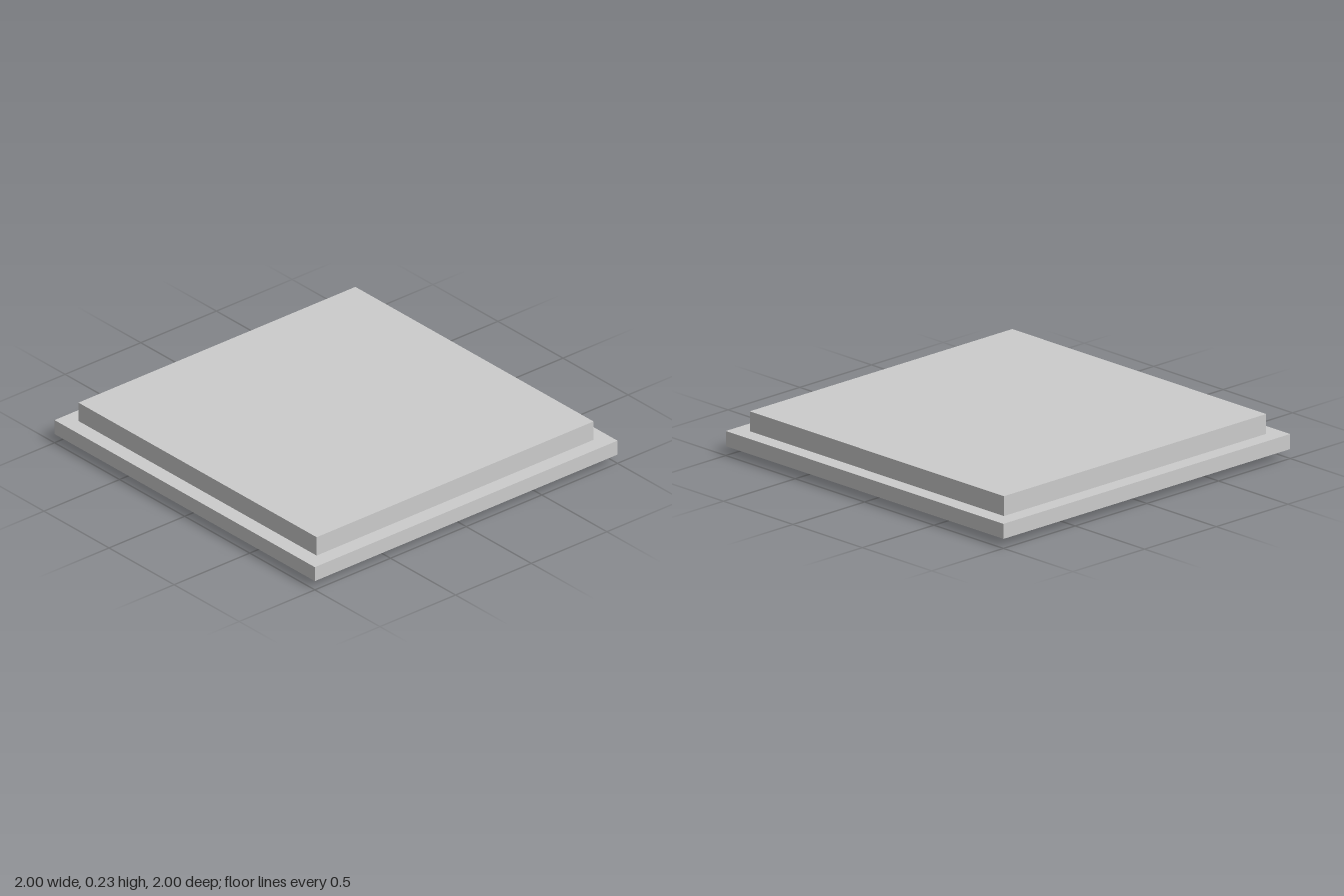
import * as THREE from 'three';

const material = new THREE.MeshStandardMaterial({ color: 0xcccccc, flatShading: true });
const UNDER = 0.05; // height of the board's underside

export function createModel() {
  const model = new THREE.Group();

  const group = (name) => {
    const g = new THREE.Group();
    g.name = name;
    model.add(g);
    return g;
  };
  const add = (parent, name, geometry, x, y, z) => {
    const mesh = new THREE.Mesh(geometry, material);
    mesh.name = name;
    mesh.position.set(x, y, z);
    parent.add(mesh);
    return mesh;
  };
  // box given by its lower and upper heights
  const slab = (parent, name, w, d, y0, y1, x, z) =>
    add(parent, name, new THREE.BoxGeometry(w, y1 - y0, d), x, (y0 + y1) / 2, z);

  // main board and the cover plate on top
  slab(model, 'board', 2, 2, UNDER, 0.13, 0, 0);
  slab(model, 'coverPlate', 1.83, 1.83, 0.13, 0.235, 0, 0);

  // square pins under the front edge, with one stepped corner
  const pins = group('pinBlock');
  const rowsInColumn = [3, 5, 7, 7, 7, 7, 7];
  rowsInColumn.forEach((rows, col) => {
    for (let row = 0; row < rows; row++) {
      slab(pins, 'pin', 0.046, 0.046, 0, UNDER, 0.038 + col * 0.053, 0.872 - row * 0.054);
    }
  });

  // hollow socket, open downward
  const wall = new THREE.Shape();
  wall.moveTo(-0.055, -0.192).lineTo(0.055, -0.192).lineTo(0.055, 0.192).lineTo(-0.055, 0.192);
  const slot = new THREE.Path();
  slot.moveTo(-0.033, -0.165).lineTo(-0.033, 0.165).lineTo(0.033, 0.165).lineTo(0.033, -0.165);
  wall.holes.push(slot);
  const socket = new THREE.ExtrudeGeometry(wall, { depth: 0.035, bevelEnabled: false });
  socket.rotateX(Math.PI / 2);
  add(model, 'socket', socket, 0.78, UNDER, 0.462);

  // round solder dots in regular fields
  const dots = group('solderDots');
  const dotGeometry = new THREE.CylinderGeometry(0.018, 0.018, 0.006, 8);
  const dotField = (x0, z0, cols, rows, stepX, stepZ) => {
    for (let i = 0; i < cols; i++) {
      for (let j = 0; j < rows; j++) {
        add(dots, 'solderDot', dotGeometry, x0 + i * stepX, UNDER - 0.003, z0 + j * stepZ);
      }
    }
  };
  dotField(-0.7, 0.1, 14, 5, 0.056, 0.085);
  dotField(-0.7, 0.525, 12, 3, 0.056, 0.085);
  dotField(0.28, 0.08, 4, 2, 0.056, 0.08);
  dotField(0.5, -0.28, 2, 3, 0.07, 0.07);

  // flat square contact pads
  const pads = group('contactPads');
  for (let i = 0; i < 5; i++) slab(pads, 'contactPad', 0.055, 0.055, 0.047, UNDER, 0.5 + i * 0.09, 0.82);

  // thin conductor tracks, each a path of x, z corners
  const tracks = group('tracks');
  const W = 0.012;
  const track = (...points) => {
    for (let i = 1; i < points.length; i++) {
      const [xa, za] = points[i - 1];
      const [xb, zb] = points[i];
      slab(tracks, 'track', Math.abs(xb - xa) + W, Math.abs(zb - za) + W,
        UNDER - 0.002, UNDER, (xa + xb) / 2, (za + zb) / 2);
    }
  };
  track([0.93, -0.09], [0.72, -0.09], [0.72, 0.19], [0.52, 0.19], [0.52, -0.04]);
  track([0.79, -0.93], [0.79, -0.58], [0.69, -0.58], [0.69, -0.36], [0.39, -0.36], [0.39, -0.27], [0.3, -0.27]);
  track([0.48, -0.94], [0.48, -0.62], [0.56, -0.62], [0.56, -0.48], [0.3, -0.48]);
  track([0.32, -0.92], [0.2, -0.92], [0.2, -0.78], [-0.11, -0.78], [-0.11, -0.66]);
  track([0.04, -0.46], [0.04, -0.64], [-0.19, -0.64], [-0.19, -0.46], [0.04, -0.46]);
  track([-0.15, -0.14], [-0.66, -0.14]);
  track([-0.13, -0.2], [-0.6, -0.2], [-0.6, -0.27], [-0.13, -0.27]);
  track([-0.2, -0.34], [-0.5, -0.34]);
  track([-0.4, -0.9], [-0.4, -0.6], [-0.5, -0.6], [-0.5, -0.42], [-0.65, -0.42], [-0.65, -0.3]);
  track([-0.74, -0.88], [-0.74, -0.7], [-0.64, -0.7], [-0.64, -0.55], [-0.8, -0.55]);
  track([0.3, -0.1], [0.3, -0.18], [0.1, -0.18], [0.1, 0]);
  track([-0.6, 0.95], [-0.6, 0.78]);
  track([-0.65, 0.6], [-0.92, 0.6]);
  track([-0.78, 0.35], [-0.78, 0], [-0.9, 0]);
  track([0.92, 0.68], [0.64, 0.68], [0.64, 0.76]);
  track([0.6, 0.3], [0.45, 0.3], [0.45, 0.55]);

  return model;
}
